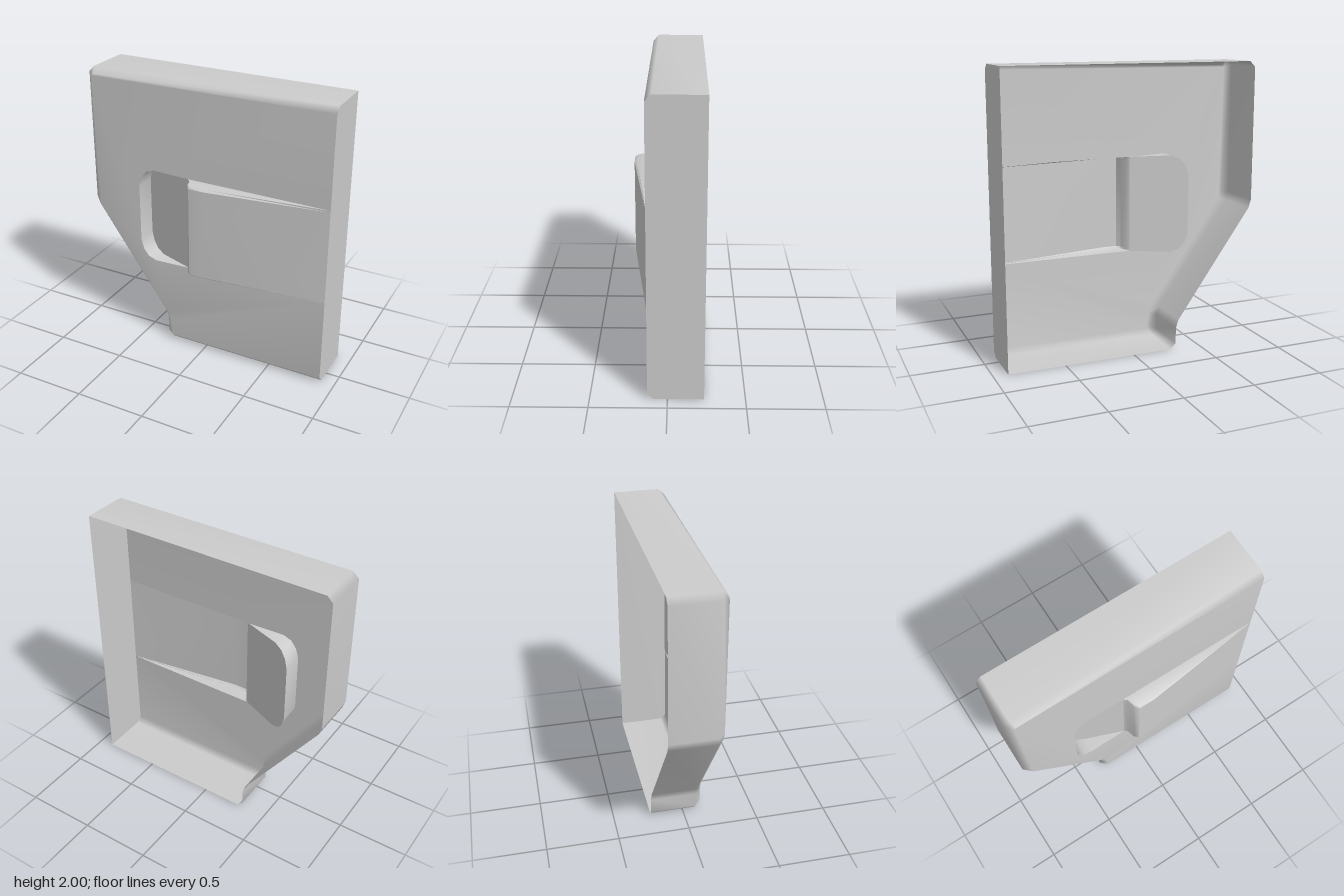
import * as THREE from 'three';
import { mergeGeometries, mergeVertices, toCreasedNormals } from 'three/addons/utils/BufferGeometryUtils.js';

const BACK = -0.235, FRONT = 0.13, BEVEL = 0.04, MID = 0.9875;

const material = new THREE.MeshStandardMaterial({ color: 0xcccccc, side: THREE.DoubleSide });

// Skin a list of equally long rows of [x, y, z] points
function skin(rows) {
  const n = rows[0].length, index = [];
  for (let r = 0; r < rows.length - 1; r++) {
    for (let c = 0; c < n - 1; c++) {
      const a = r * n + c, b = a + n;
      index.push(a, a + 1, b + 1, a, b + 1, b);
    }
  }
  const g = new THREE.BufferGeometry();
  g.setAttribute('position', new THREE.Float32BufferAttribute(rows.flat(2), 3));
  g.setIndex(index);
  return g;
}

// Flat sheet from [x, y] points, with z given by a rule
function sheet(points, zAt) {
  const g = new THREE.ShapeGeometry(new THREE.Shape(points.map(p => new THREE.Vector2(p[0], p[1]))));
  const pos = g.attributes.position;
  for (let i = 0; i < pos.count; i++) pos.setZ(i, zAt(pos.getX(i)));
  g.deleteAttribute('uv');
  g.deleteAttribute('normal');
  return g;
}

// Move an open counter-clockwise outline inwards with mitred corners
function inset(points, d) {
  const normal = (a, b) => new THREE.Vector2(a[1] - b[1], b[0] - a[0]).normalize();
  return points.map((p, i) => {
    const prev = i > 0 ? normal(points[i - 1], p) : normal(p, points[i + 1]);
    const next = i < points.length - 1 ? normal(p, points[i + 1]) : prev;
    const k = d / (1 + prev.dot(next));
    return [p[0] + (prev.x + next.x) * k, p[1] + (prev.y + next.y) * k];
  });
}

export function createModel() {
  const group = new THREE.Group();
  const add = (name, geometry) => {
    const mesh = new THREE.Mesh(geometry, material);
    mesh.name = name;
    group.add(mesh);
  };
  const atZ = (points, z) => points.map(p => [p[0], p[1], z]);

  // Outer outline, open along the straight hinge side
  const outline = [
    [0.9, 2], [-0.86, 2], [-0.9, 1.96], [-0.9, 1.03], [-0.88, 0.97],
    [-0.34, 0.21], [-0.32, 0.15], [-0.32, 0.04], [-0.28, 0], [0.9, 0],
  ];
  const face = inset(outline, BEVEL);

  // Hand pocket outline with rounded far corners
  const half = [[-0.12, 0.3425], [-0.39, 0.352], [-0.45, 0.33], [-0.49, 0.28], [-0.51, 0.21]];
  const pocket = [
    ...half.map(([x, y]) => [x, MID + y]),
    ...half.slice().reverse().map(([x, y]) => [x, MID - y]),
  ];

  // Panel face with a slot for pocket and handle, plus bevel and rim
  const slot = [[0.9, MID + 0.3425], ...pocket, [0.9, MID - 0.3425]].reverse();
  const body = mergeVertices(mergeGeometries([
    skin([atZ(outline, BACK), atZ(outline, FRONT - BEVEL), atZ(face, FRONT)]),
    sheet([...face, ...slot], () => FRONT),
  ]));
  body.computeVertexNormals();
  add('panelShell', body);

  // Straight wall on the hinge side
  const wallRow = (y, yFront) => [[0.9, y, BACK], [0.9, y, FRONT - BEVEL], [0.9, yFront, FRONT]];
  const wall = skin([wallRow(2, 2 - BEVEL), wallRow(0, BEVEL)]);
  wall.computeVertexNormals();
  add('hingeWall', wall);

  // Pocket: floor ramps back from the handle, with upright walls
  const ramp = x => FRONT + (x + 0.12) * 0.39;
  add('pocketFloor', toCreasedNormals(sheet(pocket, ramp), 0.6));
  add('pocketWall', toCreasedNormals(
    skin([atZ(pocket, FRONT), pocket.map(([x, y]) => [x, y, ramp(x)])]), 0.7));

  // Handle: raised lip tapering back into the panel
  const profile = [[-0.12, 0], [-0.1, 0.02], [-0.085, 0.08], [-0.06, 0.105], [0.05, 0.105], [0.9, 0]];
  const section = [[0.3425, 0], [0.3375, 0.85], [0.325, 1], [-0.325, 1], [-0.3375, 0.85], [-0.3425, 0]];
  add('handle', toCreasedNormals(
    skin(profile.map(([x, h]) => section.map(([y, k]) => [x, MID + y, FRONT + h * k]))), 0.7));

  return group;
}
